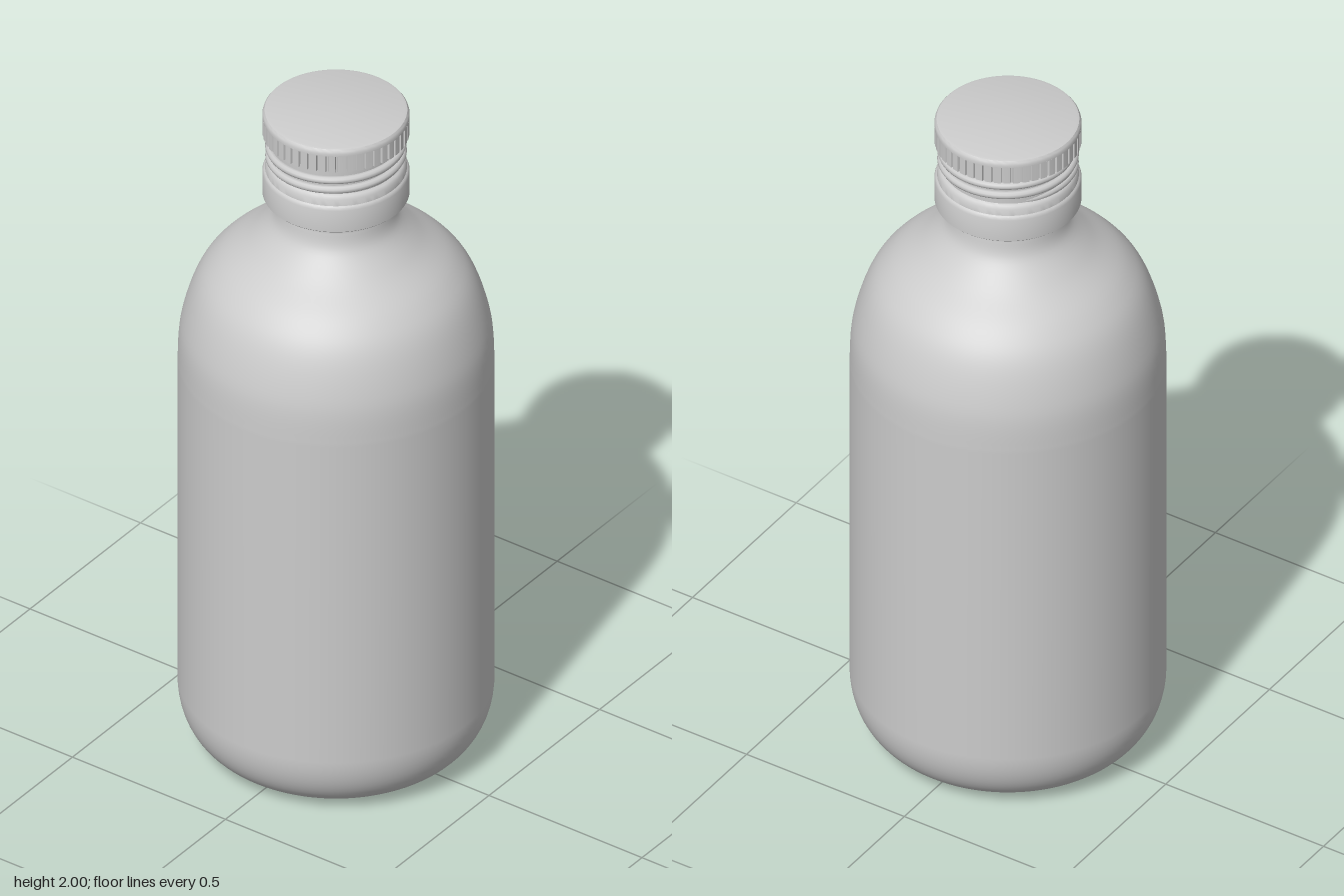
import * as THREE from 'three';
import { toCreasedNormals } from 'three/addons/utils/BufferGeometryUtils.js';

const SEGMENTS = 96;
const material = new THREE.MeshStandardMaterial({ color: 0xcccccc });
const v = (x, y) => new THREE.Vector2(x, y);

function addMesh(parent, name, geometry) {
  const mesh = new THREE.Mesh(geometry, material);
  mesh.name = name;
  parent.add(mesh);
}

// Revolve [radius, height] pairs, keeping hard edges crisp
function turned(pairs) {
  const lathe = new THREE.LatheGeometry(pairs.map(([r, y]) => v(r, y)), SEGMENTS);
  return toCreasedNormals(lathe, 0.6);
}

// Bottle: recessed base, rounded heel, straight wall, sloping shoulder and neck
function bodyGeometry() {
  const punt = new THREE.CubicBezierCurve(v(0, 0.075), v(0.13, 0.075), v(0.19, 0), v(0.245, 0));
  const heel = new THREE.CubicBezierCurve(v(0.265, 0), v(0.36, 0.005), v(0.42, 0.08), v(0.42, 0.19));
  const shoulder = new THREE.SplineCurve([
    v(0.42, 1.2), v(0.412, 1.32), v(0.374, 1.445), v(0.318, 1.523),
    v(0.228, 1.594), v(0.17, 1.655), v(0.155, 1.71),
  ]);
  const profile = [
    ...punt.getPoints(14), ...heel.getPoints(16), ...shoulder.getPoints(36),
    v(0.155, 1.93), v(0, 1.93),
  ];
  return new THREE.LatheGeometry(profile, SEGMENTS);
}

// Ring with narrow grooves cut around its edge
function knurlGeometry(count, outer, inner, bottom, height) {
  const shape = new THREE.Shape();
  const step = (Math.PI * 2) / count;
  for (let i = 0; i < count; i++) {
    [[0, outer], [0.35, outer], [0.7, outer], [0.76, inner], [0.94, inner]].forEach(([t, r], k) => {
      const a = (i + t) * step;
      const x = r * Math.cos(a), y = r * Math.sin(a);
      if (i + k === 0) shape.moveTo(x, y);
      else shape.lineTo(x, y);
    });
  }
  shape.closePath();
  const geometry = new THREE.ExtrudeGeometry(shape, { depth: height, bevelEnabled: false });
  geometry.rotateX(-Math.PI / 2).translate(0, bottom, 0);
  return toCreasedNormals(geometry, 0.4);
}

// Rolled thread, rising to the right and fading into the cap wall at both ends
function threadGeometry(turns, bottom, pitch) {
  const points = [];
  const count = Math.round(turns * 32);
  for (let i = 0; i <= count; i++) {
    const t = i / count;
    const a = t * turns * Math.PI * 2 - Math.PI * 0.75;
    const r = 0.177 - 0.014 * (1 - Math.min(1, 12 * Math.min(t, 1 - t)));
    points.push(new THREE.Vector3(r * Math.sin(a), bottom + t * turns * pitch, r * Math.cos(a)));
  }
  return new THREE.TubeGeometry(new THREE.CatmullRomCurve3(points), count * 2, 0.011, 10);
}

export function createModel() {
  const model = new THREE.Group();
  model.name = 'bottle';
  addMesh(model, 'body', bodyGeometry());

  const cap = new THREE.Group();
  cap.name = 'screwCap';
  model.add(cap);

  // Hollow skirt, waist and the underside of the knurled band
  addMesh(cap, 'capShell', turned([
    [0.168, 1.94], [0.168, 1.738], [0.172, 1.735], [0.192, 1.735], [0.195, 1.738],
    [0.195, 1.805], [0.192, 1.813], [0.188, 1.816], [0.187, 1.835],
    [0.181, 1.843], [0.174, 1.846], [0.174, 1.917], [0.18, 1.923], [0.189, 1.927], [0.189, 1.935],
  ]));
  addMesh(cap, 'capThread', threadGeometry(2.3, 1.848, 0.03));
  addMesh(cap, 'capKnurl', knurlGeometry(48, 0.195, 0.188, 1.928, 0.053));

  // Lid with a softly rounded rim
  addMesh(cap, 'capLid', turned([
    [0.186, 1.979], [0.195, 1.979], [0.195, 1.986], [0.193, 1.993],
    [0.189, 1.998], [0.182, 2], [0, 2],
  ]));
  return model;
}
